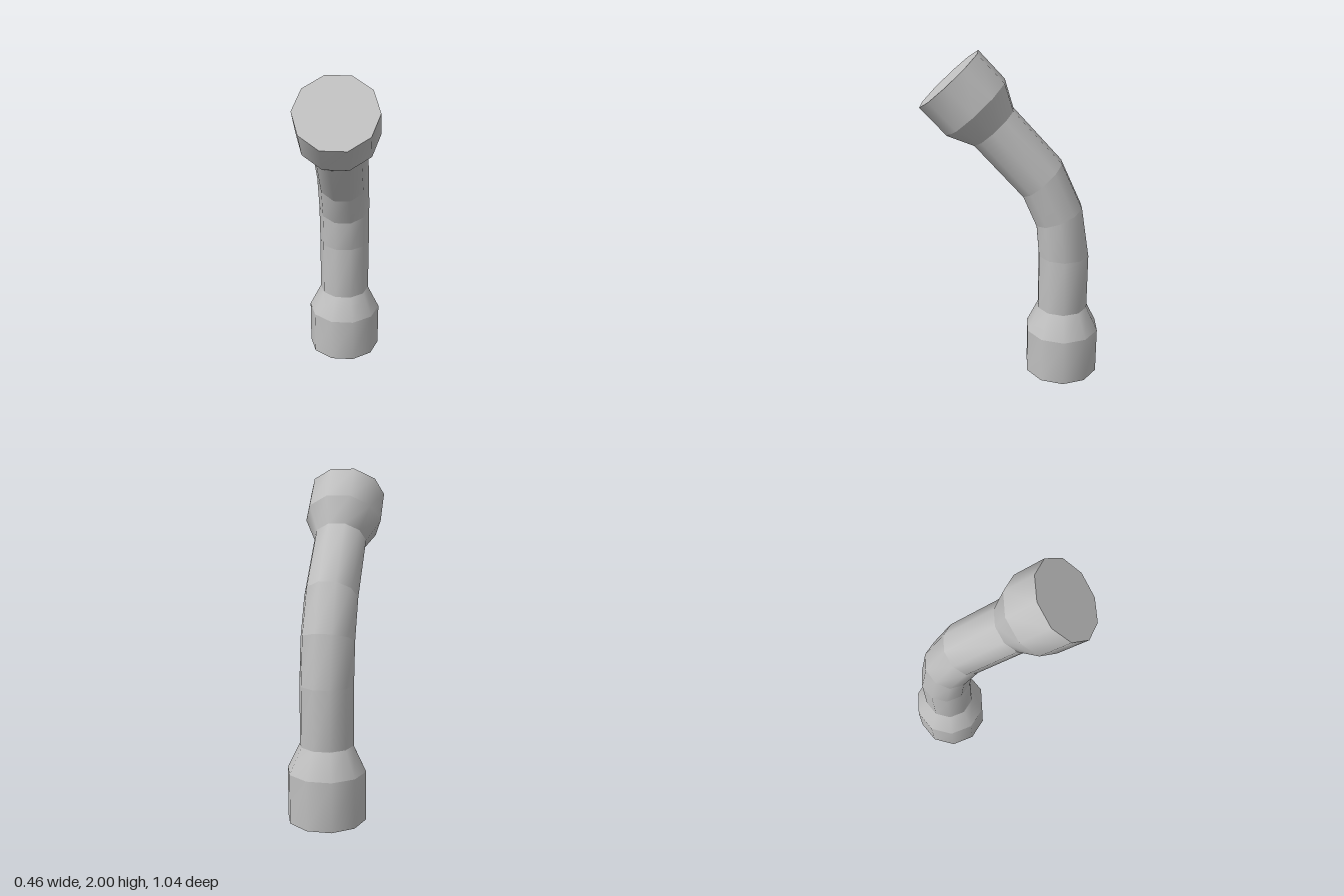
import * as THREE from 'three';

const SIDES = 10;
const FLAT = Math.sin(Math.PI * 0.4); // depth of a ten-sided ring relative to its width

// Rings along the pipe: inner z, y, outer z, y, half width in x
const RINGS = [
  [-0.086, 0, -0.52, 0, 0.23],
  [-0.086, 0.29, -0.52, 0.29, 0.23],
  [-0.153, 0.44, -0.45, 0.44, 0.157],
  [-0.153, 0.79, -0.45, 0.79, 0.157],
  [-0.136, 0.985, -0.402, 1.095, 0.157],
  [-0.056, 1.17, -0.278, 1.37, 0.157],
  [0.224, 1.48, 0.002, 1.68, 0.157],
  [0.376, 1.545, 0.05, 1.84, 0.23],
  [0.524, 1.706, 0.198, 2.0, 0.23],
];

const NAMES = ['lowerCollar', 'lowerTaper', 'straightPipe', 'lowerBend', 'upperBend',
  'angledPipe', 'upperTaper', 'upperCollar'];

function ringPoints([zi, yi, zo, yo, halfWidth]) {
  const points = [];
  for (let k = 0; k < SIDES; k++) {
    const a = (k / SIDES) * Math.PI * 2;
    const s = Math.sin(a) / FLAT / 2;
    points.push(Math.cos(a) * halfWidth, (yi + yo) / 2 + s * (yo - yi), (zi + zo) / 2 + s * (zo - zi));
  }
  return points;
}

function makeGeometry(points, index) {
  const geometry = new THREE.BufferGeometry();
  geometry.setAttribute('position', new THREE.Float32BufferAttribute(points, 3));
  geometry.setIndex(index);
  geometry.computeVertexNormals();
  return geometry;
}

// Wall between two rings, smooth around and sharp at its ends
function wall(lower, upper) {
  const index = [];
  for (let k = 0; k < SIDES; k++) {
    const n = (k + 1) % SIDES;
    index.push(k, n, n + SIDES, k, n + SIDES, k + SIDES);
  }
  return makeGeometry([...ringPoints(lower), ...ringPoints(upper)], index);
}

// Flat end face
function cap(ring, facesUp) {
  const index = [];
  for (let k = 1; k < SIDES - 1; k++) {
    if (facesUp) index.push(0, k, k + 1);
    else index.push(0, k + 1, k);
  }
  return makeGeometry(ringPoints(ring), index);
}

export function createModel() {
  const model = new THREE.Group();
  model.name = 'bentPipe';
  const grey = new THREE.MeshStandardMaterial({ color: 0xc0c0c0 });
  grey.name = 'pipeGrey';

  const add = (name, geometry) => {
    const mesh = new THREE.Mesh(geometry, grey);
    mesh.name = name;
    model.add(mesh);
  };

  NAMES.forEach((name, i) => add(name, wall(RINGS[i], RINGS[i + 1])));
  add('bottomEnd', cap(RINGS[0], false));
  add('topEnd', cap(RINGS[RINGS.length - 1], true));
  return model;
}
